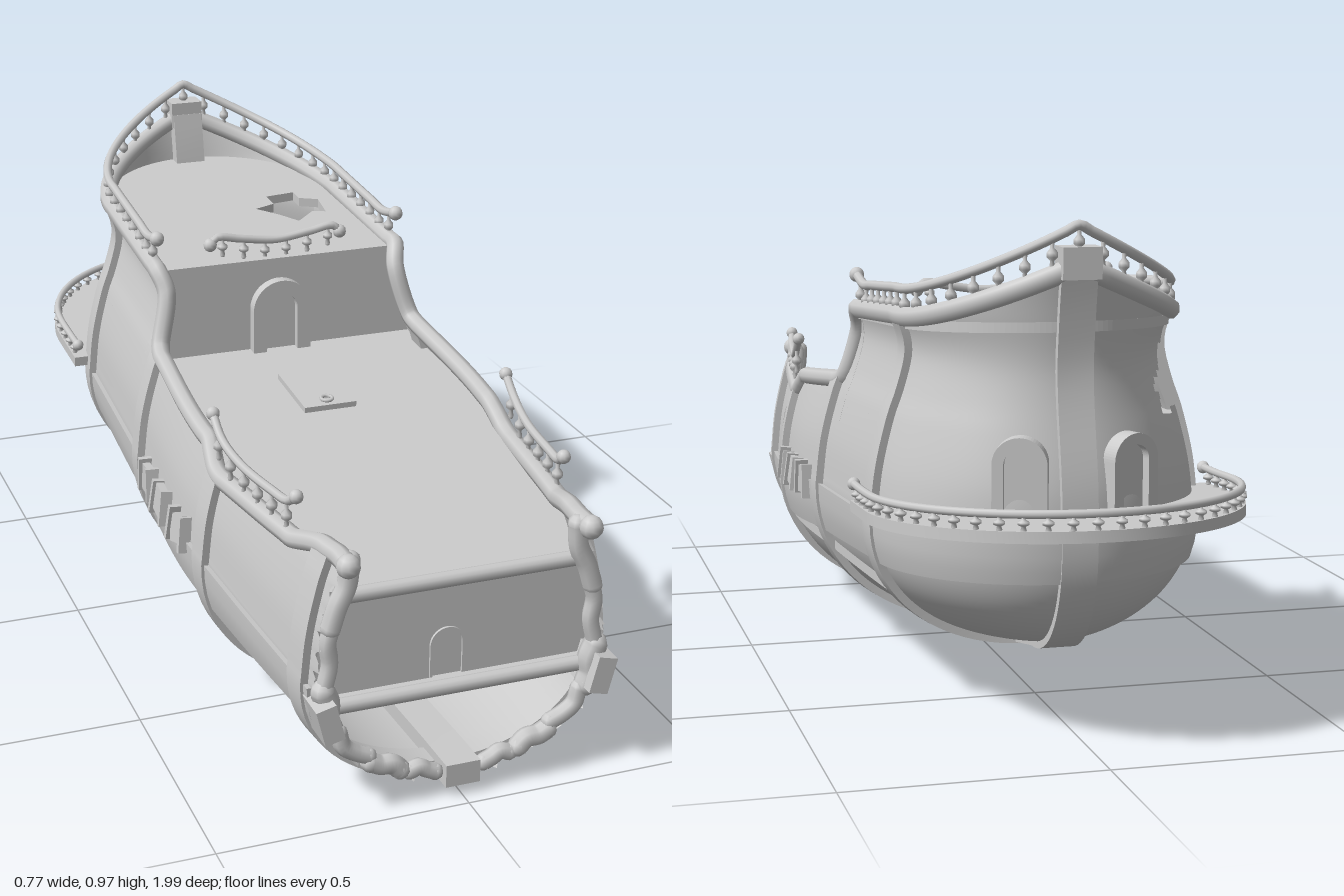
import * as THREE from 'three';
import { toCreasedNormals } from 'three/addons/utils/BufferGeometryUtils.js';

const mat = new THREE.MeshStandardMaterial({ color: 0xcccccc, side: THREE.DoubleSide });
const V = (x, y, z) => new THREE.Vector3(x, y, z);
const V2 = (x, y) => new THREE.Vector2(x, y);

function mesh(name, geo, parent, x = 0, y = 0, z = 0) {
  const m = new THREE.Mesh(geo, mat);
  m.name = name;
  m.position.set(x, y, z);
  parent.add(m);
  return m;
}

// Interpolates a table of [key, value] rows, linear or smooth
function interp(t, x, smooth) {
  const n = t.length - 1;
  if (x <= t[0][0]) return t[0][1];
  if (x >= t[n][0]) return t[n][1];
  let i = 0;
  while (x > t[i + 1][0]) i++;
  const w = t[i + 1][0] - t[i][0], k = (x - t[i][0]) / w, a = t[i][1], b = t[i + 1][1];
  if (!smooth) return a + (b - a) * k;
  const slope = j => (t[Math.min(j + 1, n)][1] - t[Math.max(j - 1, 0)][1]) / (t[Math.min(j + 1, n)][0] - t[Math.max(j - 1, 0)][0]);
  const k2 = k * k, k3 = k2 * k;
  return a * (2 * k3 - 3 * k2 + 1) + b * (3 * k2 - 2 * k3) + w * (slope(i) * (k3 - 2 * k2 + k) + slope(i + 1) * (k3 - k2));
}

// Hull: u 0..1 runs along the side, 1..2 round the stern; v 0..1 keel to wale, 1..2 wale to rail
const BOW = 0.93, TURN = -0.45;
const uOf = z => (BOW - z) / (BOW - TURN);
const railT = [[-0.45, 0.765], [-0.06, 0.735], [-0.03, 0.595], [0, 0.575], [0.38, 0.53], [0.45, 0.485], [0.78, 0.49], [0.86, 0.515], [0.93, 0.52]];
const keelT = [[-0.45, 0.105], [0, 0.045], [0.4, 0.012], [0.93, 0.03]];
const wideT = [[-0.45, 0.92], [0, 0.97], [0.3, 1], [0.6, 0.93], [0.93, 0.82]];
const sideT = [[0, 0.355], [0.1, 0.342], [0.2, 0.315], [0.25, 0.295], [0.32, 0.275], [0.36, 0.278], [0.42, 0.3], [0.55, 0.31]];
const sternT = [[0, 0.345], [0.1, 0.34], [0.3, 0.305], [0.42, 0.315], [0.55, 0.34]];

function station(u) {
  const z = BOW - (BOW - TURN) * Math.min(u, 1), a = Math.max(0, u - 1) * Math.PI / 2;
  return {
    z, a, wide: interp(wideT, z, true),
    rail: interp(railT, z) + 0.12 * (1 - Math.cos(a)),
    keel: interp(keelT, z, true) + 0.03 * Math.sin(a),
    wale: interp([[-0.45, 0.37], [0, 0.35], [0.93, 0.26]], z),
  };
}
function raw(u, v) {
  const s = station(u);
  let y, w, r;
  if (v < 1) {
    const f = v * v, g = Math.sqrt(1 - Math.pow(1 - f, 2.2));
    y = s.keel + (s.wale - s.keel) * f;
    w = 0.355 * g;
    r = 0.15 + 0.195 * g;
  } else {
    y = s.wale + (s.rail - s.wale) * (v - 1);
    w = interp(sideT, y - s.wale, true);
    r = interp(sternT, y - s.wale, true);
  }
  return V(w * s.wide * Math.cos(s.a), y, s.z - r * Math.sin(s.a));
}
function normal(u, v) {
  u = Math.min(u, 1.99);
  v = Math.min(v, 1.99);
  const o = raw(u, v), e = 0.002;
  return raw(u + e, v).sub(o).cross(raw(u, v + e).sub(o)).normalize();
}
function point(u, v, side = 1, off = 0) {
  const q = raw(u, v);
  if (off) q.addScaledVector(normal(u, v), off);
  q.x *= side;
  return q;
}
function vOf(u, y) {
  const s = station(u);
  return y < s.wale ? Math.sqrt(Math.max(0, (y - s.keel) / (s.wale - s.keel))) : 1 + (y - s.wale) / (s.rail - s.wale);
}

// Grid surface from a point rule, with optional skipped cells
function grid(nu, nv, f, flip, skip) {
  const pos = [], idx = [];
  for (let i = 0; i <= nu; i++) for (let j = 0; j <= nv; j++) pos.push(...f(i, j).toArray());
  for (let i = 0; i < nu; i++) for (let j = 0; j < nv; j++) {
    if (skip && skip(i + 0.5, j + 0.5)) continue;
    const a = i * (nv + 1) + j, b = a + nv + 1;
    if (flip) idx.push(a, a + 1, b, b, a + 1, b + 1);
    else idx.push(a, b, a + 1, b, b + 1, a + 1);
  }
  const g = new THREE.BufferGeometry();
  g.setAttribute('position', new THREE.Float32BufferAttribute(pos, 3));
  g.setIndex(idx);
  g.computeVertexNormals();
  return g;
}
// Raised plank on the hull, its border dropping back to the skin
function plank(name, parent, u0, u1, v0, v1, off, side, nu, nv) {
  const g = grid(nu + 2, nv + 2, (i, j) => {
    const edge = i === 0 || j === 0 || i === nu + 2 || j === nv + 2;
    const c = (k, n) => Math.min(Math.max(k - 1, 0), n) / n;
    return point(u0 + (u1 - u0) * c(i, nu), v0 + (v1 - v0) * c(j, nv), side, edge ? 0 : off);
  }, (side < 0) !== (off < 0));
  mesh(name, toCreasedNormals(g, 0.6), parent);
}
function inside(poly, x, y) {
  let c = false;
  poly.forEach(([ax, ay], i) => {
    const [bx, by] = poly[(i + 1) % poly.length];
    if ((ay > y) !== (by > y) && x < (bx - ax) * (y - ay) / (by - ay) + ax) c = !c;
  });
  return c;
}
const tube = (pts, r, n = pts.length * 3) => new THREE.TubeGeometry(new THREE.CatmullRomCurve3(pts), n, r, 8);
const extrude = (shape, depth) => new THREE.ExtrudeGeometry(shape, { depth, bevelEnabled: false, curveSegments: 16 });
const mirrored = pts => new THREE.Shape([...pts, ...pts.slice().reverse().map(p => V2(-p.x, p.y))]);

// Sloping deck cut to the hull
function deck(name, parent, u0, u1, yf, hole) {
  const pts = [];
  for (let i = 0; i <= 50; i++) {
    const u = u0 + (u1 - u0) * i / 50, q = point(u, vOf(u, yf(raw(u, 1.4).z)));
    pts.push(V2(q.x, -q.z));
  }
  const shape = mirrored(pts);
  if (hole) shape.holes.push(new THREE.Path(hole.map(([x, z]) => V2(x, -z))));
  const g = extrude(shape, 0.02).rotateX(-Math.PI / 2), p = g.attributes.position;
  for (let i = 0; i < p.count; i++) p.setY(i, p.getY(i) + yf(p.getZ(i)) - 0.02);
  g.computeVertexNormals();
  mesh(name, g, parent);
}
// Cross wall cut to the hull
function bulkhead(name, parent, z, y0, y1) {
  const u = uOf(z), pts = [];
  for (let i = 0; i <= 10; i++) {
    const q = point(u, vOf(u, y0 + (y1 - y0) * i / 10));
    pts.push(V2(q.x, q.y));
  }
  mesh(name, extrude(mirrored(pts), 0.015), parent, 0, 0, z - 0.015);
}
function archPath(C, w, h) {
  const s = new C();
  s.moveTo(-w, 0); s.lineTo(-w, h - w);
  s.absarc(0, h - w, w, Math.PI, 0, true);
  s.lineTo(w, 0); s.lineTo(-w, 0);
  return s;
}
function door(name, parent, w, h, t, pos, yaw) {
  const g = new THREE.Group();
  g.name = name;
  const frame = archPath(THREE.Shape, w, h);
  frame.holes.push(archPath(THREE.Path, w - t, h - t));
  mesh('doorFrame', extrude(frame, 0.035), g, 0, 0, -0.01);
  mesh('doorPanel', extrude(archPath(THREE.Shape, w - t, h - t), 0.012), g, 0, 0, -0.005);
  g.position.copy(pos);
  g.rotation.y = yaw;
  parent.add(g);
}
// Handrail with turned spindles and ball ends
const spindle = new THREE.LatheGeometry([[0.004, 0], [0.006, 0.1], [0.004, 0.3], [0.011, 0.42], [0.011, 0.56], [0.004, 0.7], [0.005, 1]].map(a => V2(...a)), 8);
function railing(name, parent, pts, count, h, r, ball = 0.014) {
  const g = new THREE.Group(), curve = new THREE.CatmullRomCurve3(pts);
  g.name = name;
  mesh('handrail', new THREE.TubeGeometry(curve, pts.length * 4, r, 8), g);
  for (let i = 0; i < count; i++) {
    const q = curve.getPointAt((i + 0.7) / (count + 0.4));
    mesh('spindle', spindle, g, q.x, q.y - h, q.z).scale.y = h;
  }
  for (const q of [pts[0], pts[pts.length - 1]]) mesh('railEnd', new THREE.SphereGeometry(ball, 10, 8), g, q.x, q.y, q.z);
  parent.add(g);
}

export function createModel() {
  const ship = new THREE.Group();
  ship.name = 'brokenShipHull';
  const NU = 200, NV = 60;
  const sideHole = [[0.73, 0.28], [0.725, 0.38], [0.7, 0.41], [0.62, 0.4], [0.48, 0.42], [0.48, 0.31], [0.55, 0.29], [0.62, 0.27]];
  const sternHole = [[1.09, 0.57], [1.2, 0.57], [1.26, 0.59], [1.5, 0.58], [1.47, 0.62], [1.52, 0.64], [1.4, 0.67], [1.38, 0.71], [1.2, 0.71], [1.09, 0.73]];

  for (const s of [1, -1]) {
    // Hull skin with torn bow edge and holes
    mesh('hullSide', grid(NU, NV, (i, j) => {
      const q = point(i * 2 / NU, j * 2 / NV, s);
      if (i === 0) q.z += 0.015 + 0.012 * Math.sin(j * 1.3 + s) + 0.01 * Math.sin(j * 2.9);
      return q;
    }, s < 0, (i, j) => {
      const u = i * 2 / NU, q = raw(u, j * 2 / NV);
      return s > 0 ? inside(sideHole, q.z, q.y) : inside(sternHole, u, q.y);
    }), ship);

    // Ribs outside and in, and the wale
    for (const [a, b] of [[0.915, 0.86], [0.475, 0.425], [0.025, -0.025]].map(r => r.map(uOf)).concat([[1.0, 1.1]])) {
      plank('rib', ship, a, b, 0, 2, 0.016, s, 3, 40);
      plank('innerRib', ship, a, b, 0, 2, -0.014, s, 3, 40);
    }
    plank('wale', ship, 0, 2, 0.82, 1, 0.01, s, 80, 3);

    // Cap rail along the sheer, shared out to the stern centre
    const cap = [point(0, 2, s).add(V(0, 0, 0.045))];
    for (let i = 0; i <= 90; i++) cap.push(point(i / 45, 2, s));
    mesh('capRail', tube(cap, 0.02, 200), ship);
    mesh('capRailEnd', new THREE.SphereGeometry(0.023, 10, 8), ship, cap[0].x, cap[0].y, cap[0].z);

    // Broken frame pieces round the bow
    for (const [a, b, r] of [[1.5, 2, 0.02], [1.05, 1.55, 0.017], [0.78, 1.0, 0.024], [0.5, 0.74, 0.017], [0.3, 0.47, 0.02], [0.12, 0.25, 0.017]]) {
      const pts = [0, 1, 2, 3].map(k => point(0, a + (b - a) * k / 3, s, -0.018 + 0.006 * Math.sin(k * 2 + a * 9)).add(V(0, 0, 0.02)));
      mesh('bowFramePiece', tube(pts, r), ship);
      for (const q of [pts[0], pts[3]]) mesh('bowFrameEnd', new THREE.SphereGeometry(r, 8, 6), ship, q.x, q.y, q.z);
    }
    mesh('waleStub', new THREE.BoxGeometry(0.04, 0.075, 0.08), ship, s * 0.275, 0.21, 0.95).rotation.z = -s * 0.25;

    // Tilted gun port shutters
    [0.34, 0.22, 0.11].forEach((z, i) => {
      const u = uOf(z), v = vOf(u, 0.333 + (0.22 - z) * 0.05), g = new THREE.Group();
      g.name = 'gunPort';
      g.position.copy(point(u, v, s, 0.01));
      g.lookAt(point(u, v, s, 1));
      mesh('portPanel', new THREE.BoxGeometry(0.065, 0.06, 0.016), g).rotation.z = [0.25, -0.12, 0.1][i];
      for (const k of [-1, 1]) mesh('portTrim', new THREE.BoxGeometry(0.011, 0.075, 0.03), g, k * 0.034, 0, 0).rotation.z = 0.1 * k;
      ship.add(g);
    });

    // Waist handrail and stern doors
    railing('waistRailing', ship, [[0.79, 0.58], [0.76, 0.56], [0.7, 0.555], [0.56, 0.555], [0.48, 0.575], [0.43, 0.61]].map(([z, y]) => {
      const q = point(uOf(z), 2, s);
      return V(q.x + s * 0.004, y, z);
    }), 6, 0.06, 0.009);
    const du = 1.78, n = normal(du, vOf(du, 0.5));
    const dp = point(du, vOf(du, 0.5), s);
    door('sternDoor', ship, 0.052, 0.15, 0.022, V(dp.x, 0.42, dp.z), Math.atan2(s * n.x, n.z));
  }

  // Keel and sternpost in one bent timber
  const path = [];
  for (let i = 0; i <= 40; i++) path.push(raw(i / 20, 0));
  for (let i = 1; i <= 30; i++) path.push(raw(2, i / 15));
  const outer = [], inner = [];
  path.forEach((p, i) => {
    const a = path[Math.max(i - 1, 0)], b = path[Math.min(i + 1, path.length - 1)];
    const t = V2(b.z - a.z, b.y - a.y).normalize();
    outer.push(V2(p.z - t.y * 0.012, p.y + t.x * 0.012));
    inner.push(V2(p.z + t.y * 0.035, p.y - t.x * 0.035));
  });
  outer[0].x = inner[0].x = 0.97;
  const timber = extrude(new THREE.Shape([...outer, ...inner.reverse()]), 0.07);
  mesh('keelAndSternpost', toCreasedNormals(timber.rotateY(-Math.PI / 2), 0.5), ship, 0.035);
  mesh('sternpostCap', new THREE.BoxGeometry(0.075, 0.06, 0.055), ship, 0, 0.89, -0.78);

  // Decks and cross walls
  const mainY = z => 0.45 + (BOW - z) * 0.079, poopY = z => 0.735 + (-0.08 - z) * 0.065;
  deck('mainDeck', ship, 0, 1.95, mainY);
  deck('lowerDeck', ship, 0, 1, () => 0.225);
  deck('poopDeck', ship, uOf(-0.08), 1.97, poopY, [[0.05, -0.38], [0.1, -0.4], [0.1, -0.45], [0.17, -0.46], [0.17, -0.42], [0.21, -0.4], [0.2, -0.32], [0.17, -0.33], [0.12, -0.28], [0.09, -0.33]]);
  bulkhead('poopBulkhead', ship, -0.08, 0.5, 0.73);
  bulkhead('lowerBulkhead', ship, 0.91, 0.22, 0.44);
  for (const y of [0.44, 0.215]) {
    mesh('deckBeam', new THREE.CylinderGeometry(0.015, 0.015, 0.5, 12).rotateZ(Math.PI / 2), ship, 0, y, 0.935);
  }
  door('cabinDoor', ship, 0.066, 0.165, 0.03, V(0, 0.525, -0.08), 0);
  door('lowerDoor', ship, 0.035, 0.1, 0.005, V(-0.015, 0.228, 0.89), 0);

  // Deck hatch
  const hatch = new THREE.Group();
  hatch.name = 'deckHatch';
  mesh('hatchCover', new THREE.BoxGeometry(0.115, 0.014, 0.17), hatch);
  mesh('hatchRing', new THREE.TorusGeometry(0.012, 0.004, 6, 14).rotateX(Math.PI / 2), hatch, 0, 0.01, 0.06);
  hatch.position.set(0, mainY(0.165) + 0.005, 0.165);
  hatch.rotation.x = 0.079;
  ship.add(hatch);

  // Poop handrails, round the stern and across the break
  const rim = [];
  for (let i = -24; i <= 24; i++) {
    const k = 1 - Math.abs(i) / 24, u = uOf(-0.08) + (2 - uOf(-0.08)) * k;
    rim.push(point(u, 2, i < 0 ? -1 : 1).add(V(0, 0.052 + 0.022 * k * k + (k === 0 ? 0.02 : 0), 0)));
  }
  railing('poopRailing', ship, rim, 31, 0.06, 0.01, 0.016);
  railing('breakRailing', ship, [[-0.15, 0.775], [-0.135, 0.79], [-0.08, 0.782], [0, 0.772], [0.08, 0.782], [0.135, 0.79], [0.15, 0.775]].map(([x, y]) => V(x, y, -0.1)), 6, 0.045, 0.009, 0.015);

  // Stern balcony
  const balcony = new THREE.Group();
  balcony.name = 'sternBalcony';
  const floor = new THREE.Shape();
  floor.moveTo(-0.37, 0);
  floor.lineTo(0.37, 0);
  floor.lineTo(0.37, 0.15);
  floor.absarc(0, 0.15, 0.37, 0, Math.PI, false);
  mesh('balconyFloor', toCreasedNormals(new THREE.ExtrudeGeometry(floor, { depth: 0.022, bevelEnabled: false, curveSegments: 40 }).rotateX(-Math.PI / 2), 0.5), balcony);
  const edge = [V(0.362, 0.054, 0), V(0.362, 0.052, -0.075)];
  for (let i = 0; i <= 24; i++) edge.push(V(0.362 * Math.cos(i * Math.PI / 24), 0.052, -0.15 - 0.362 * Math.sin(i * Math.PI / 24)));
  edge.push(V(-0.362, 0.052, -0.075), V(-0.362, 0.054, 0));
  railing('balconyRailing', balcony, edge, 32, 0.032, 0.008, 0.013);
  balcony.position.set(0, 0.383, -0.475);
  balcony.rotation.x = 0.057;
  ship.add(balcony);
  return ship;
}
